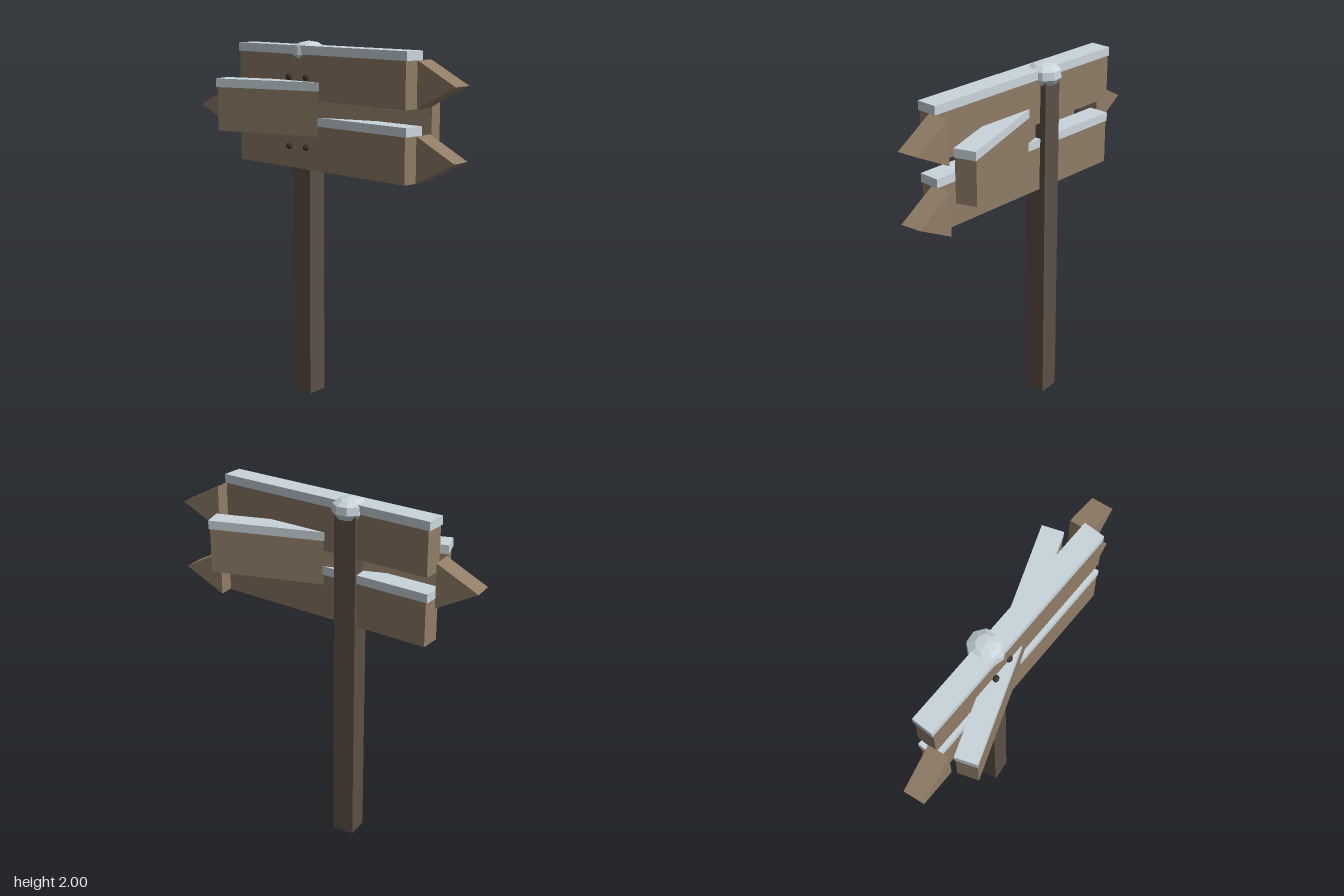
import * as THREE from 'three';

const mat = (name, color, flatShading = true) => {
  const m = new THREE.MeshStandardMaterial({ color, flatShading });
  m.name = name;
  return m;
};

export function createModel() {
  const group = new THREE.Group();
  group.name = 'signpost';
  const wood = mat('plank wood', 0x8f7d66);
  const darkWood = mat('post wood', 0x5d5046);
  const snow = mat('snow', 0xcad6dc);
  const iron = mat('iron', 0x3b3631);

  const add = (parent, name, geometry, material, x, y, z) => {
    const mesh = new THREE.Mesh(geometry, material);
    mesh.name = name;
    mesh.position.set(x, y, z);
    parent.add(mesh);
    return mesh;
  };

  // Upright post
  add(group, 'post', new THREE.BoxGeometry(0.125, 1.93, 0.125), darkWood, -0.152, 0.965, -0.043);

  // Triangular arrow tip, as a prism pointing along +x
  const tipShape = new THREE.Shape([
    new THREE.Vector2(0, -0.122),
    new THREE.Vector2(0.232, 0),
    new THREE.Vector2(0, 0.122),
  ]);
  const tipGeometry = new THREE.ExtrudeGeometry(tipShape, { depth: 0.12, bevelEnabled: false });
  tipGeometry.translate(0, 0, -0.06);

  // Three planks, each with a snow strip and an arrow tip
  const planks = [
    { name: 'topSign', y: 1.807, angle: -0.12, side: 1 },
    { name: 'middleSign', y: 1.615, angle: 0.224, side: -1 },
    { name: 'bottomSign', y: 1.426, angle: -0.12, side: 1 },
  ];
  for (const { name, y, angle, side } of planks) {
    const sign = new THREE.Group();
    sign.name = name;
    sign.position.set(0, y, -0.003);
    group.add(sign);
    add(sign, 'plank', new THREE.BoxGeometry(1.29, 0.246, 0.115), wood, 0, 0, 0).rotation.y = angle;
    add(sign, 'snowStrip', new THREE.BoxGeometry(1.306, 0.048, 0.119), snow, 0, 0.146, 0).rotation.y = angle;
    const tip = add(sign, 'arrowTip', tipGeometry, wood, side * 0.651, 0, 0);
    if (side < 0) tip.rotation.y = Math.PI;
  }

  // Bolt heads on the top and bottom planks
  const boltGeometry = new THREE.SphereGeometry(0.02, 8, 6);
  for (const y of [1.807, 1.426]) {
    for (const x of [-0.214, -0.092]) {
      add(group, 'bolt', boltGeometry, iron, x, y, 0.047).scale.z = 0.8;
    }
  }

  // Faceted snow cap over the post
  const profile = [
    [0, 1.89], [0.07, 1.893], [0.092, 1.925], [0.088, 1.968], [0.05, 1.991], [0, 2.0],
  ].map(([r, y]) => new THREE.Vector2(r, y));
  const cap = add(group, 'snowCap', new THREE.LatheGeometry(profile, 9), snow, -0.15, 0, -0.048);
  cap.scale.z = 1.08;

  return group;
}
